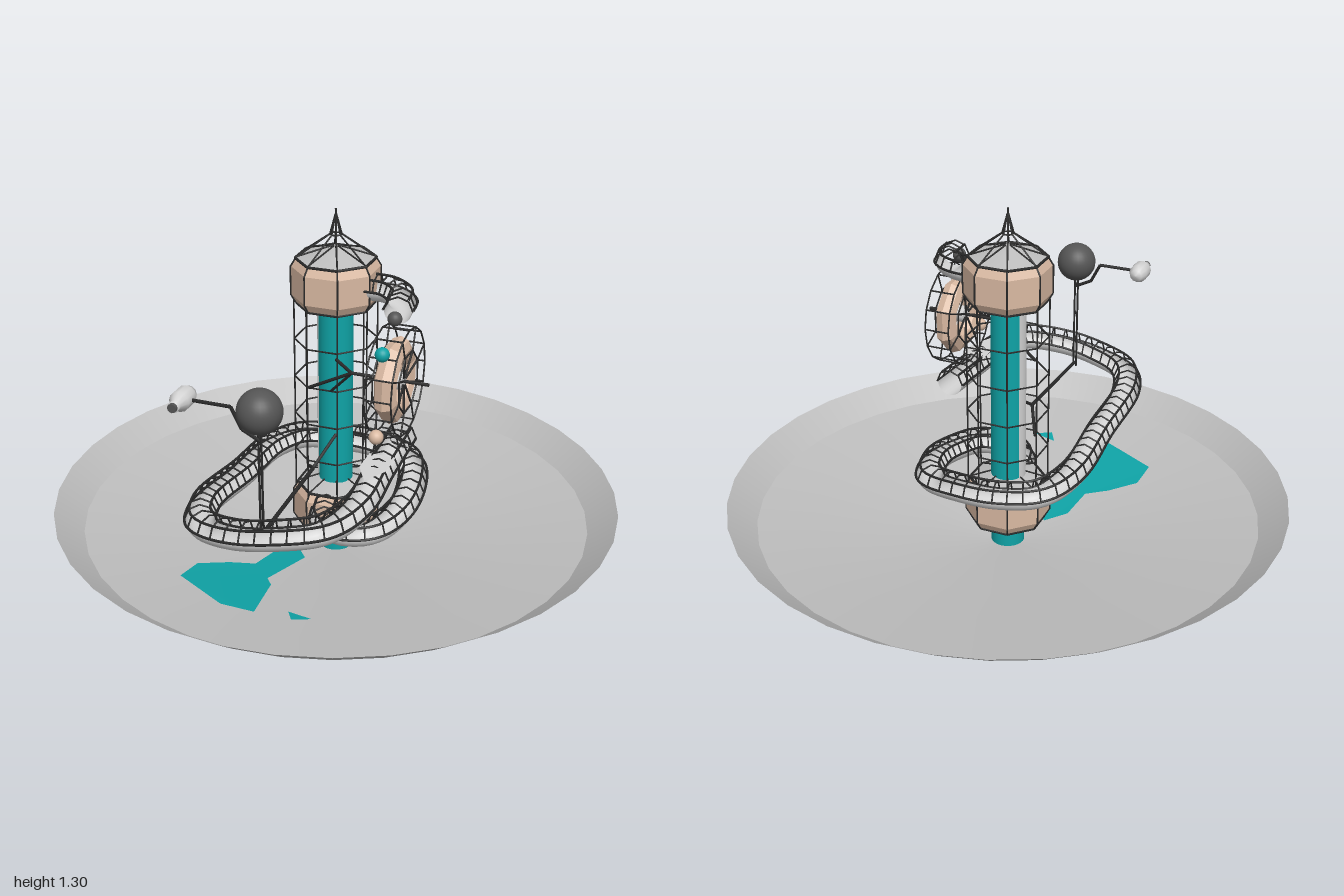
import * as THREE from 'three';
import { mergeGeometries } from 'three/addons/utils/BufferGeometryUtils.js';
import { ParametricGeometry } from 'three/addons/geometries/ParametricGeometry.js';

const mat = (name, color, extra = {}) => {
  const m = new THREE.MeshStandardMaterial({ color, ...extra });
  m.name = name;
  return m;
};
const V = (x, y, z) => new THREE.Vector3(x, y, z);
const UP = V(0, 1, 0);

export function createModel() {
  const group = new THREE.Group();
  const D = { side: THREE.DoubleSide };
  const dishGrey = mat('dishGrey', 0xbebebe, D);
  const paleGrey = mat('paleGrey', 0xd4d4d4, D);
  const beige = mat('beige', 0xd9b9a2, { flatShading: true });
  const beigeSmooth = beige.clone();
  beigeSmooth.flatShading = false;
  const teal = mat('teal', 0x0fa3a6, D);
  const frame = mat('darkFrame', 0x2b2b2b);
  const charcoal = mat('charcoal', 0x555555);

  const add = (name, geo, material, x = 0, y = 0, z = 0) => {
    const m = new THREE.Mesh(geo, material);
    m.name = name;
    m.position.set(x, y, z);
    group.add(m);
    return m;
  };
  const lathe = (pts, seg) => new THREE.LatheGeometry(pts.map(p => new THREE.Vector2(...p)), seg);

  // A thin straight bar between two points
  const rod = (a, b, r = 0.004) => {
    const d = b.clone().sub(a);
    const g = new THREE.CylinderGeometry(r, r, d.length(), 5);
    g.applyQuaternion(new THREE.Quaternion().setFromUnitVectors(UP, d.normalize()));
    return g.translate((a.x + b.x) / 2, (a.y + b.y) / 2, (a.z + b.z) / 2);
  };
  const chain = (pts, r) => pts.slice(1).map((p, i) => rod(pts[i], p, r));
  const polar = (r, a, y) => V(r * Math.sin(a), y, r * Math.cos(a));
  const ring = (r, y, n, t) => chain([...Array(n + 1).keys()].map(i => polar(r, (i + 0.5) * 2 * Math.PI / n, y)), t);
  const eighths = [...Array(8).keys()].map(i => (i + 0.5) * Math.PI / 4);

  // Shallow dish, with a teal cone lying against its underside
  const dishY = r => 0.02 + r * 0.155;
  add('dish', lathe([[0.001, 0.02], [0.45, dishY(0.45)], [0.9, dishY(0.9)]], 36), dishGrey);
  add('dishRim', lathe([[0.9, dishY(0.9)], [1, 0.24]], 36), dishGrey);
  add('dishUnderside', lathe([[0.001, 0.015], [0.63, dishY(0.63) - 0.005]], 36), teal);
  add('dishFoot', new THREE.CylinderGeometry(0.055, 0.05, 0.02, 16), paleGrey, 0, 0.01, 0);

  // Teal pool patches on the dish floor
  const patches = [
    [[-0.09, 0.13], [-0.05, 0.18], [-0.1, 0.4], [-0.07, 0.44], [-0.04, 0.65], [-0.16, 0.65], [-0.36, 0.54], [-0.35, 0.43], [-0.26, 0.36], [-0.18, 0.32], [-0.16, 0.19]],
    [[0.06, 0.6], [0.15, 0.62], [0.09, 0.65]]
  ];
  for (const pts of patches) {
    const g = new THREE.ShapeGeometry(new THREE.Shape(pts.map(p => new THREE.Vector2(...p))));
    const p = g.attributes.position;
    for (let i = 0; i < p.count; i++) {
      const x = p.getX(i), z = p.getY(i);
      p.setXYZ(i, x, dishY(Math.hypot(x, z)) + 0.005, z);
    }
    g.computeVertexNormals();
    add('poolPatch', g, teal);
  }

  // Central column with one grey stripe
  add('column', new THREE.CylinderGeometry(0.06, 0.06, 0.96, 24), teal, 0, 0.5, 0);
  add('columnStripe', new THREE.CylinderGeometry(0.064, 0.064, 0.7, 8, 1, true, -Math.PI / 2 - 0.5, 1), paleGrey, 0, 0.62, 0);

  // Upper and lower eight-sided cabins, each with a roof, floor and frame
  const cage = [];
  for (const [y, name] of [[0.97, 'upper'], [0.125, 'lower']]) {
    const profile = [[0.132, 0], [0.15, 0.03], [0.15, 0.13], [0.132, 0.16]];
    const turn = g => g.rotateY(Math.PI / 8);
    add(name + 'Cabin', turn(lathe(profile, 8).toNonIndexed()), beige, 0, y, 0);
    add(name + 'CabinRoof', turn(lathe([[0.134, 0.16], [0.06, 0.182], [0.001, 0.2]], 8)), dishGrey, 0, y, 0);
    add(name + 'CabinFloor', turn(lathe([[0.001, -0.01], [0.132, 0]], 8)), dishGrey, 0, y, 0);
    for (const a of eighths) {
      cage.push(...chain(profile.map(([r, h]) => polar(r + 0.002, a, y + h)), 0.003));
      cage.push(rod(polar(0.135, a, y + 0.163), polar(0.01, a, y + 0.203), 0.003));
    }
    cage.push(...ring(0.134, y, 8, 0.004), ...ring(0.136, y + 0.16, 8, 0.005));
  }

  // Wire cage around the column and wire spire on top
  for (const a of eighths) {
    cage.push(rod(polar(0.142, a, 0.26), polar(0.142, a, 0.98), 0.003));
    cage.push(...chain([polar(0.135, a, 1.13), polar(0.02, a, 1.212), polar(0.002, a, 1.28)], 0.003));
  }
  for (const y of [0.42, 0.56, 0.7, 0.84]) cage.push(...ring(0.142, y, 8, 0.003));
  cage.push(...ring(0.02, 1.212, 8, 0.003), rod(V(0, 1.2, 0), V(0, 1.3, 0), 0.004));
  add('towerFrame', mergeGeometries(cage), frame);

  // Half-pipe chute swept along a curve, with hoops and rails above it
  function chute(name, pts, r, hoops) {
    const curve = new THREE.CatmullRomCurve3(pts.map(p => V(...p)), false, 'centripetal');
    const at = (t, a, s = r) => {
      const tangent = curve.getTangentAt(t);
      const side = V(-tangent.z, 0, tangent.x).normalize();
      return curve.getPointAt(t).addScaledVector(side, Math.cos(a) * s).addScaledVector(UP, Math.sin(a) * s);
    };
    const sweep = (u, v, out) => out.copy(at(u, Math.PI * (1 + v)));
    add(name + 'Trough', new ParametricGeometry(sweep, hoops * 2, 12), paleGrey);
    const wires = [];
    for (let i = 0; i <= hoops; i++)
      wires.push(...chain([0, 0.25, 0.5, 0.75, 1].map(k => at(i / hoops, k * Math.PI, r * 1.08)), 0.003));
    for (const k of [0, 0.27, 0.73, 1]) {
      const line = [...Array(hoops * 2 + 1).keys()].map(i => at(i / hoops / 2, k * Math.PI, r * 1.08));
      wires.push(new THREE.TubeGeometry(new THREE.CatmullRomCurve3(line), hoops * 2, 0.0045, 5));
    }
    add(name + 'Cage', mergeGeometries(wires), frame);
  }
  chute('mainChute', [
    [0.275, 0.56, 0.1], [0.275, 0.54, 0.35], [0.275, 0.52, 0.55], [0.22, 0.51, 0.69], [0.08, 0.49, 0.745],
    [-0.06, 0.465, 0.745], [-0.19, 0.445, 0.69], [-0.25, 0.43, 0.55], [-0.25, 0.395, 0.25], [-0.25, 0.365, -0.03],
    [-0.19, 0.35, -0.17], [-0.06, 0.34, -0.22], [0.08, 0.335, -0.22], [0.22, 0.32, -0.17], [0.275, 0.305, -0.03],
    [0.275, 0.275, 0.13], [0.22, 0.26, 0.25], [0.12, 0.25, 0.275], [0.04, 0.245, 0.22], [0.01, 0.24, 0.12]
  ], 0.047, 66);
  chute('topChute', [[0.12, 1.05, 0.02], [0.2, 1.05, 0.03], [0.26, 1.045, 0.08], [0.275, 1.04, 0.17]], 0.045, 7);

  // Pointed catch plate below the wheel
  const plate = new THREE.Shape([[-0.045, 0.3], [0.045, 0.3], [0.045, 0.4], [0, 0.48], [-0.045, 0.4]].map(p => new THREE.Vector2(...p)));
  add('catchPlate', new THREE.ShapeGeometry(plate).rotateX(Math.PI / 2), paleGrey, 0.275, 0.585, 0);

  // Lifting wheel, its axle turned to point along x
  const wheel = new THREE.Group();
  wheel.name = 'wheel';
  const wheelPart = (name, g, m) => {
    const mesh = new THREE.Mesh(g, m);
    mesh.name = name;
    wheel.add(mesh);
  };
  wheelPart('wheelRim', new THREE.TorusGeometry(0.107, 0.038, 8, 8).rotateZ(Math.PI / 8), beige);
  wheelPart('wheelHub', new THREE.CylinderGeometry(0.03, 0.03, 0.06, 12).rotateX(Math.PI / 2), paleGrey);
  const wp = (r, i, z) => V(r * Math.cos(i * Math.PI / 8), r * Math.sin(i * Math.PI / 8), z);
  const wires = [];
  for (const z of [-0.045, 0.045])
    for (let i = 0; i < 16; i++) {
      wires.push(rod(wp(0.18, i, z), wp(0.18, i + 1, z), 0.003));
      if (i % 2) continue;
      wires.push(rod(wp(0.105, i + 1, z), wp(0.105, i + 3, z), 0.003));
      wires.push(rod(wp(0.015, i + 1, z * 0.7), wp(0.105, i + 1, z), 0.004));
      wires.push(rod(wp(0.105, i + 1, z), wp(0.18, i + 1, z), 0.003));
    }
  for (let i = 0; i < 16; i++) wires.push(rod(wp(0.18, i, -0.045), wp(0.18, i, 0.045), 0.003));
  wires.push(rod(V(0, 0, -0.15), V(0, 0, 0.115), 0.006));
  wheelPart('wheelFrame', mergeGeometries(wires), frame);
  wheel.rotation.y = Math.PI / 2;
  wheel.position.set(0.275, 0.805, 0.185);
  group.add(wheel);

  // Rolling balls
  const ball = r => new THREE.SphereGeometry(r, 20, 14);
  add('greyBall', ball(0.024), charcoal, 0.275, 1.025, 0.2);
  add('tealBall', ball(0.024), teal, 0.275, 0.95, 0.32);
  add('beigeBall', ball(0.024), beigeSmooth, 0.275, 0.685, 0.37);

  // Wheel struts, ball stand and arm
  const hub = V(0.125, 0.805, 0.185), knee = V(0.01, 0.46, 0.245), foot = V(0.01, 0.445, 0.675);
  add('struts', mergeGeometries([
    rod(hub, V(-0.05, 0.7, 0.13), 0.006), rod(hub, V(0.05, 0.82, 0.13), 0.006), rod(hub, V(0.03, 0.7, 0.13), 0.005),
    rod(foot, knee, 0.007), rod(knee, V(0.05, 0.54, 0.13), 0.006), rod(knee, V(-0.05, 0.4, 0.13), 0.006),
    rod(V(-0.003, 0.44, 0.66), V(-0.003, 0.82, 0.66)), rod(V(0.02, 0.44, 0.69), V(0.02, 0.82, 0.69)),
    ...[0.54, 0.66, 0.78].map(y => rod(V(-0.003, y, 0.66), V(0.02, y, 0.69))),
    ...chain([V(0.01, 0.77, 0.675), V(-0.05, 0.8, 0.675), V(-0.085, 0.87, 0.675), V(-0.22, 0.87, 0.675)], 0.006)
  ]), frame);
  add('largeBall', new THREE.SphereGeometry(0.072, 28, 20), charcoal, 0.01, 0.87, 0.675);

  // Lookout head on the arm
  const head = lathe([[0.001, -0.06], [0.022, -0.055], [0.034, -0.03], [0.034, 0.02], [0.018, 0.045], [0.018, 0.06], [0.001, 0.06]], 12);
  add('lookoutHead', head.rotateX(Math.PI / 2), paleGrey, -0.245, 0.87, 0.68);
  add('lookoutLens', new THREE.CylinderGeometry(0.015, 0.015, 0.012, 12).rotateX(Math.PI / 2), charcoal, -0.245, 0.87, 0.745);
  return group;
}
